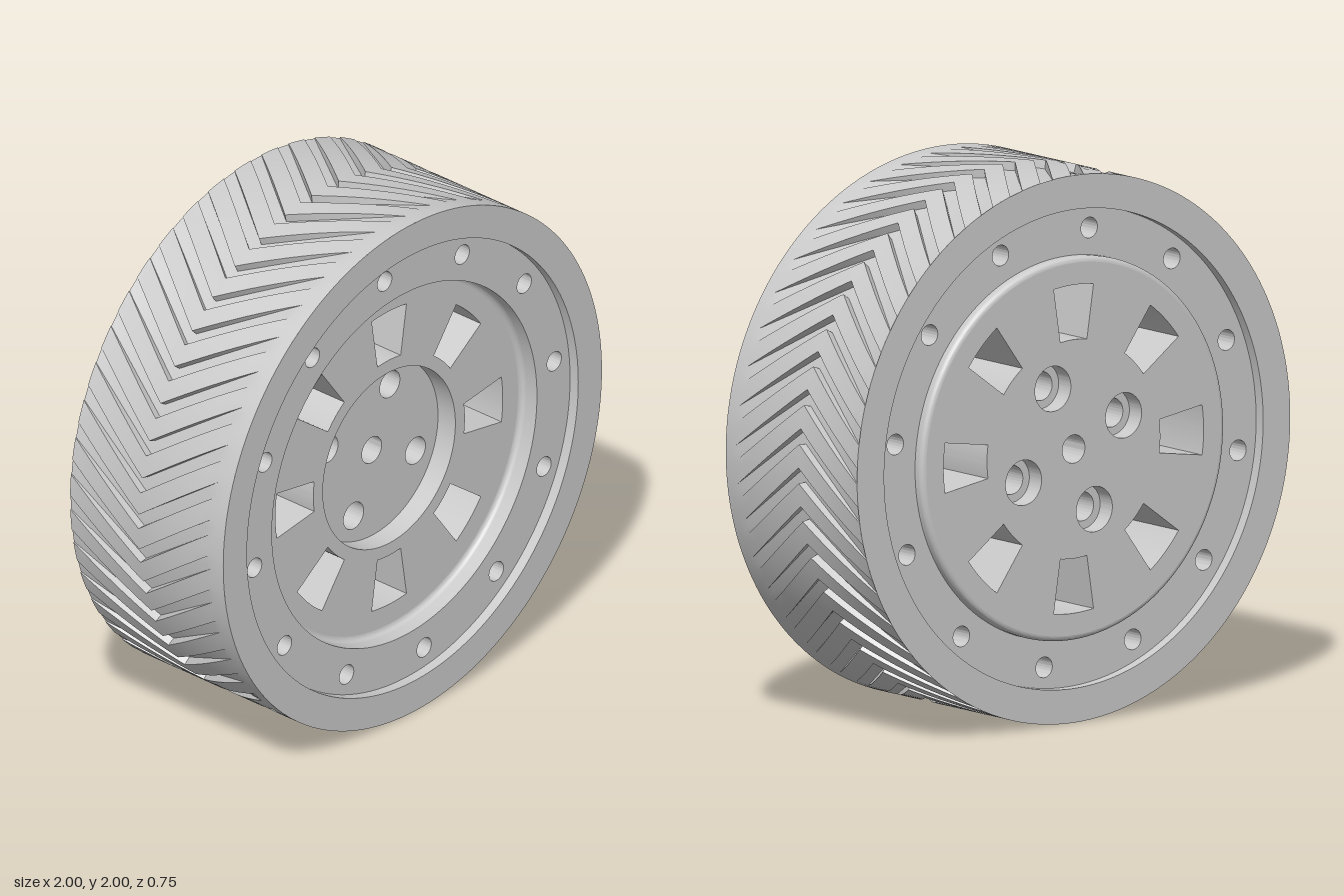
import * as THREE from 'three';
import { toCreasedNormals } from 'three/addons/utils/BufferGeometryUtils.js';

const SEG = 176;            // sides of the round parts
const HALF = 0.375;         // half the wheel width
const RING_Z = 0.335;       // faces of the bolt ring
const FLOOR_Z = 0.26;       // front face of the window disc
const HUB_Z = 0.175;        // front face of the hub
const BORE_Z = -0.305;      // floor of the counterbores

const material = new THREE.MeshStandardMaterial({ color: 0xcccccc });

function part(name, geometry) {
  const mesh = new THREE.Mesh(toCreasedNormals(geometry, 0.5), material);
  mesh.name = name;
  return mesh;
}

function circle(r, x = 0, y = 0, Type = THREE.Path) {
  const c = new Type();
  c.absarc(x, y, r, 0, Math.PI * 2, false);
  return c;
}

// n circular holes on a pitch circle
function holeRing(n, pitchR, r, startDeg) {
  return Array.from({ length: n }, (_, i) => {
    const a = THREE.MathUtils.degToRad(startDeg) + (i * Math.PI * 2) / n;
    return circle(r, pitchR * Math.cos(a), pitchR * Math.sin(a));
  });
}

// round plate with holes between two z planes
function plate(name, r, holes, z0, z1) {
  const shape = circle(r, 0, 0, THREE.Shape);
  shape.holes.push(...holes);
  const g = new THREE.ExtrudeGeometry(shape, { depth: z1 - z0, bevelEnabled: false, curveSegments: SEG / 2 });
  g.translate(0, 0, z0);
  return part(name, g);
}

// profile of [radius, z] turned about the wheel axis
function turned(name, points) {
  const g = new THREE.LatheGeometry(points.map(([r, z]) => new THREE.Vector2(r, z)), SEG);
  g.rotateX(Math.PI / 2);
  return part(name, g);
}

// quarter-round profile points
function fillet(cr, cz, r, from, to) {
  return Array.from({ length: 7 }, (_, i) => {
    const a = from + ((to - from) * i) / 6;
    return [cr + r * Math.cos(a), cz + r * Math.sin(a)];
  });
}

// Tread: straight slanted slots in a chevron, running out towards the edges
function tread() {
  const count = 44, apexZ = -0.04, slope = 0.73, floorR = 0.968;
  const pitch = (Math.PI * 2) / count;
  // fraction of the pitch, and whether the column lies on a slot floor
  const columns = [[0, 0], [0.3, 0], [0.6, 0], [0.6, 1], [0.8, 1], [1, 1], [1, 0]];
  const rows = [];
  for (let i = 0; i < 12; i++) rows.push(THREE.MathUtils.lerp(-HALF, apexZ, i / 12));
  for (let i = 0; i <= 14; i++) rows.push(THREE.MathUtils.lerp(apexZ, HALF, i / 14));

  const point = (k, [u, onFloor], z) => {
    const swing = Math.atan(slope * Math.abs(z - apexZ));
    const r = onFloor ? Math.min(1, floorR / Math.cos(swing)) : 1;
    const a = (k + u) * pitch - swing;
    return [r * Math.cos(a), r * Math.sin(a), z];
  };
  const same = (p, q) => Math.hypot(p[0] - q[0], p[1] - q[1], p[2] - q[2]) < 1e-6;
  const positions = [];
  const triangle = (a, b, c) => {
    if (!same(a, b) && !same(b, c) && !same(a, c)) positions.push(...a, ...b, ...c);
  };
  for (let k = 0; k < count; k++) {
    for (let c = 0; c < columns.length - 1; c++) {
      for (let j = 0; j < rows.length - 1; j++) {
        const a = point(k, columns[c], rows[j]);
        const b = point(k, columns[c + 1], rows[j]);
        const d = point(k, columns[c], rows[j + 1]);
        const e = point(k, columns[c + 1], rows[j + 1]);
        triangle(a, b, e);
        triangle(a, e, d);
      }
    }
  }
  const g = new THREE.BufferGeometry();
  g.setAttribute('position', new THREE.Float32BufferAttribute(positions, 3));
  return part('tread', g);
}

// Trapezoid windows around the disc
function windows() {
  const half = THREE.MathUtils.degToRad(8.8);
  return Array.from({ length: 8 }, (_, i) => {
    const a = (i * Math.PI) / 4;
    const p = new THREE.Path();
    p.absarc(0, 0, 0.6, a - half, a + half, false);
    p.absarc(0, 0, 0.4, a + half, a - half, true);
    p.closePath();
    return p;
  });
}

export function createModel() {
  const wheel = new THREE.Group();
  wheel.name = 'wheel';

  // Tyre
  wheel.add(tread());
  wheel.add(turned('tyreSides', [[1, HALF], [0.875, HALF], [0.875, -HALF], [1, -HALF]]));

  // Ring with bolt holes
  wheel.add(plate('boltRing', 0.875, [circle(0.7), ...holeRing(12, 0.798, 0.038, 7.5)], -RING_Z, RING_Z));

  // Window disc with rounded edges
  wheel.add(plate('windowDisc', 0.68, [circle(0.35), ...windows()], -HALF, FLOOR_Z));
  wheel.add(turned('frontFillet', fillet(0.68, FLOOR_Z + 0.02, 0.02, 0, -Math.PI / 2)));
  wheel.add(turned('backEdge', [...fillet(0.68, -HALF + 0.02, 0.02, -Math.PI / 2, 0), [0.7, -RING_Z]]));

  // Hub with lug holes, counterbored at the back
  wheel.add(plate('hub', 0.35, [circle(0.052), ...holeRing(4, 0.25, 0.053, 67.5)], BORE_Z, HUB_Z));
  wheel.add(plate('hubBack', 0.35, [circle(0.052), ...holeRing(4, 0.25, 0.083, 67.5)], -HALF, BORE_Z));

  wheel.position.y = 1;
  const model = new THREE.Group();
  model.add(wheel);
  return model;
}
